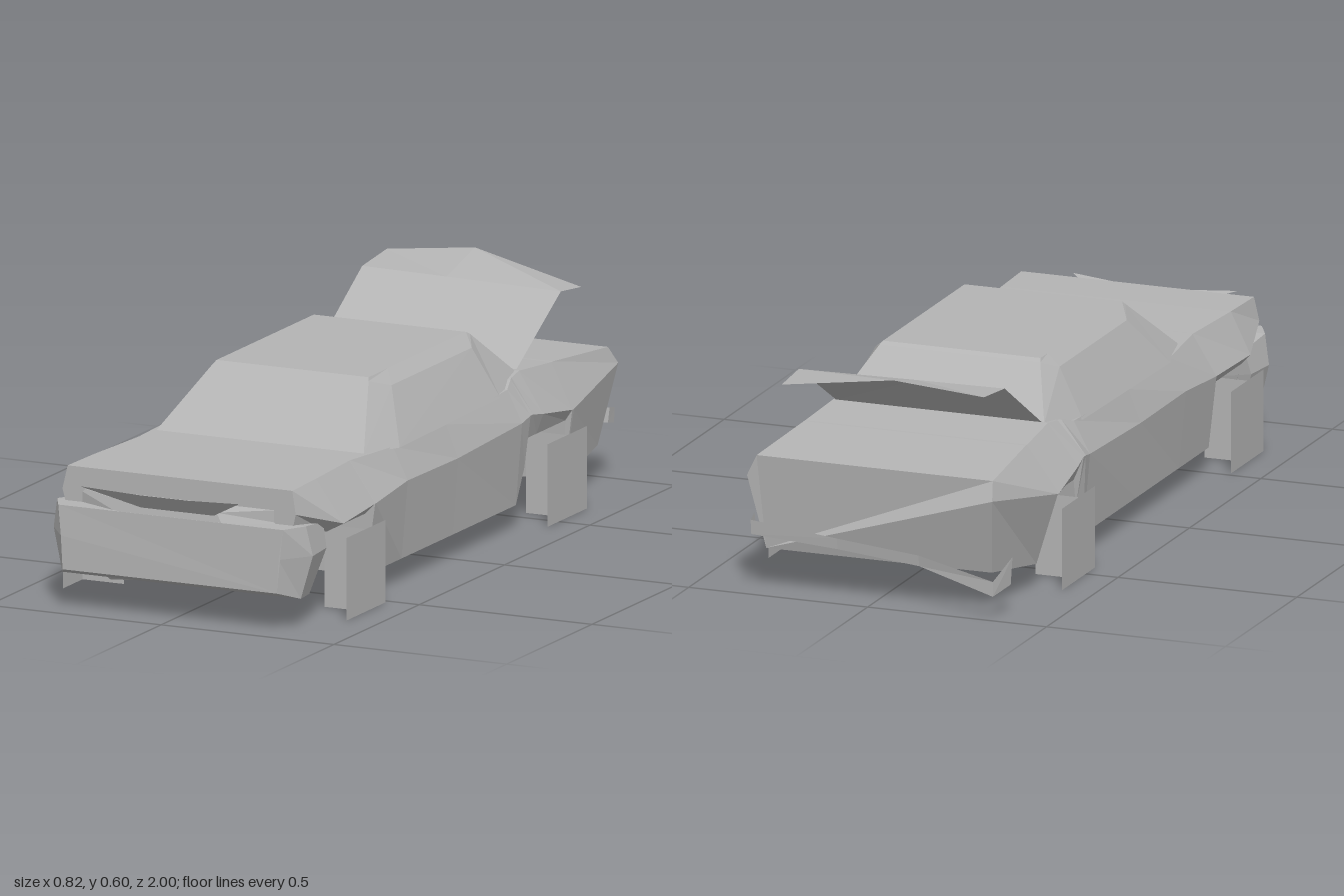
import * as THREE from 'three';

// Skin a list of closed rings; the first and last rings are capped.
function loft(rings) {
  const pos = [];
  const tri = (a, b, c) => pos.push(...a, ...b, ...c);
  const n = rings[0].length;
  for (let k = 0; k < rings.length - 1; k++) {
    const r0 = rings[k], r1 = rings[k + 1];
    for (let i = 0; i < n; i++) {
      const j = (i + 1) % n;
      tri(r0[i], r1[i], r0[j]);
      tri(r0[j], r1[i], r1[j]);
    }
  }
  const first = rings[0], last = rings[rings.length - 1];
  for (let i = 1; i < n - 1; i++) {
    tri(first[0], first[i], first[i + 1]);
    tri(last[0], last[i + 1], last[i]);
  }
  return toGeometry(pos);
}

// Open sheet spanned between two edges with the same number of points.
function sheet(edgeA, edgeB) {
  const pos = [];
  for (let i = 0; i < edgeA.length - 1; i++) {
    pos.push(...edgeA[i], ...edgeB[i], ...edgeA[i + 1]);
    pos.push(...edgeA[i + 1], ...edgeB[i], ...edgeB[i + 1]);
  }
  return toGeometry(pos);
}

function toGeometry(pos) {
  const g = new THREE.BufferGeometry();
  g.setAttribute('position', new THREE.Float32BufferAttribute(pos, 3));
  g.computeVertexNormals();
  return g;
}

// Complete a ring from its +x half.
const mirrorRing = (half) => [...half, ...half.map(([x, y, z]) => [-x, y, z]).reverse()];

export function createModel() {
  const group = new THREE.Group();
  const grey = new THREE.MeshStandardMaterial({ color: 0xb4b4b4, flatShading: true, side: THREE.DoubleSide });
  grey.name = 'grey';
  const add = (name, geometry) => {
    const mesh = new THREE.Mesh(geometry, grey);
    mesh.name = name;
    group.add(mesh);
    return mesh;
  };

  // Dented lower body: z, floor y, floor x, crease y, crease x (+x and -x side), shoulder y, shoulder x
  const stations = [
    [0.89, 0.24, 0.32, 0.31, 0.335, 0.34, 0.373, 0.325],
    [0.74, 0.235, 0.35, 0.262, 0.4, 0.375, 0.373, 0.32],
    [0.515, 0.235, 0.35, 0.265, 0.38, 0.372, 0.372, 0.305],
    [0.51, 0.07, 0.35, 0.265, 0.38, 0.372, 0.372, 0.305],
    [0.3, 0.07, 0.35, 0.28, 0.368, 0.37, 0.366, 0.325],
    [0, 0.07, 0.35, 0.275, 0.365, 0.365, 0.362, 0.33],
    [-0.37, 0.07, 0.35, 0.29, 0.368, 0.37, 0.375, 0.325],
    [-0.42, 0.16, 0.35, 0.3, 0.368, 0.378, 0.39, 0.31],
    [-0.435, 0.235, 0.35, 0.3, 0.368, 0.378, 0.392, 0.305],
    [-0.49, 0.235, 0.35, 0.29, 0.37, 0.385, 0.398, 0.3],
    [-0.66, 0.235, 0.35, 0.265, 0.37, 0.4, 0.386, 0.31],
    [-0.67, 0.07, 0.34, 0.265, 0.37, 0.4, 0.386, 0.31],
    [-0.95, 0.11, 0.315, 0.32, 0.345, 0.34, 0.367, 0.33],
  ];
  add('lowerBody', loft(stations.map(([z, fy, fx, cy, cr, cl, sy, sx], i) => {
    const tail = i === stations.length - 1 ? 0.03 : 0; // raked tail panel
    return [
      [fx, fy, z + tail], [cr, cy, z - tail], [sx, sy, z],
      [-sx, sy, z], [-cl, cy, z - tail], [-fx, fy, z + tail],
    ];
  })));

  // Cabin with raked windscreen and rear window
  add('cabin', loft([
    [[0.29, 0.395, -0.49], [0.33, 0.365, -0.32], [0.335, 0.36, 0.28], [0.3, 0.37, 0.42]],
    [[0.225, 0.517, -0.355], [0.257, 0.495, -0.3], [0.257, 0.495, 0.17], [0.225, 0.517, 0.24]],
    [[0.22, 0.525, -0.34], [0.22, 0.525, -0.29], [0.22, 0.525, 0.12], [0.22, 0.525, 0.23]],
  ].map(mirrorRing)));

  // Front bumper with bevelled corners
  add('frontBumper', loft([
    [[0.31, 0.11, 0.95], [0.315, 0.2, 0.95], [0.325, 0.28, 0.945]],
    [[0.345, 0.085, 0.88], [0.375, 0.2, 0.87], [0.36, 0.28, 0.88]],
    [[0.33, 0.08, 0.8], [0.365, 0.2, 0.77], [0.35, 0.265, 0.76]],
  ].map(mirrorRing)));

  // Shelf between the bumper and the nose, behind the headlights
  add('grille', loft([
    [[0.15, 0.275, 0.945], [0.13, 0.305, 0.94]],
    [[0.33, 0.275, 0.87], [0.33, 0.32, 0.87]],
  ].map(mirrorRing)));

  // Loose grille trim bent forward
  add('looseGrilleTrim', sheet(
    [[-0.235, 0.35, 1], [-0.07, 0.34, 0.985], [0.07, 0.34, 0.985], [0.225, 0.35, 1]],
    [[-0.235, 0.35, 1], [-0.08, 0.3, 0.955], [0.13, 0.3, 0.955], [0.225, 0.35, 1]],
  ));

  // Torn valance hanging under the nose
  add('tornValance', sheet(
    [[-0.33, 0.2, 0.77], [-0.29, 0.1, 0.82], [0.02, 0.088, 0.83]],
    [[-0.3, 0.1, 0.77], [-0.25, 0.055, 0.79], [0.02, 0.085, 0.81]],
  ));

  // Sprung boot lid, hinged below the rear window and folded at the top
  const hinge = [[-0.285, 0.4, -0.495], [-0.04, 0.4, -0.495], [0.29, 0.4, -0.495]];
  const fold = [[-0.285, 0.56, -0.755], [-0.04, 0.557, -0.755], [0.29, 0.552, -0.755]];
  const lip = [[-0.285, 0.575, -0.9], [-0.04, 0.6, -0.92], [0.292, 0.54, -0.87]];
  add('bootLid', sheet(hinge, fold));
  add('bootLidLip', sheet(fold, lip));

  // Rear bumper strip, drooping at its torn end
  add('rearBumperStrip', sheet(
    [[0.34, 0.21, -0.94], [0.335, 0.2, -0.98], [0.1, 0.17, -0.965], [-0.13, 0.15, -0.97], [-0.35, 0.11, -1], [-0.375, 0.16, -0.925]],
    [[0.34, 0.17, -0.93], [0.335, 0.16, -0.975], [0.1, 0.14, -0.96], [-0.13, 0.12, -0.965], [-0.35, 0.07, -1], [-0.37, 0.085, -0.925]],
  ));

  // Wheels: an outer card with a cross card behind it
  for (const side of [1, -1]) {
    for (const [end, z] of [['front', 0.63], ['rear', -0.55]]) {
      const name = end + (side > 0 ? 'Left' : 'Right') + 'Wheel';
      const outer = add(name + 'Side', new THREE.PlaneGeometry(0.23, 0.22));
      outer.rotation.y = side * Math.PI / 2;
      outer.position.set(side * 0.41, 0.115, z);
      const cross = add(name + 'Cross', new THREE.PlaneGeometry(0.12, 0.22));
      cross.position.set(side * 0.35, 0.115, z);
    }
  }
  return group;
}
